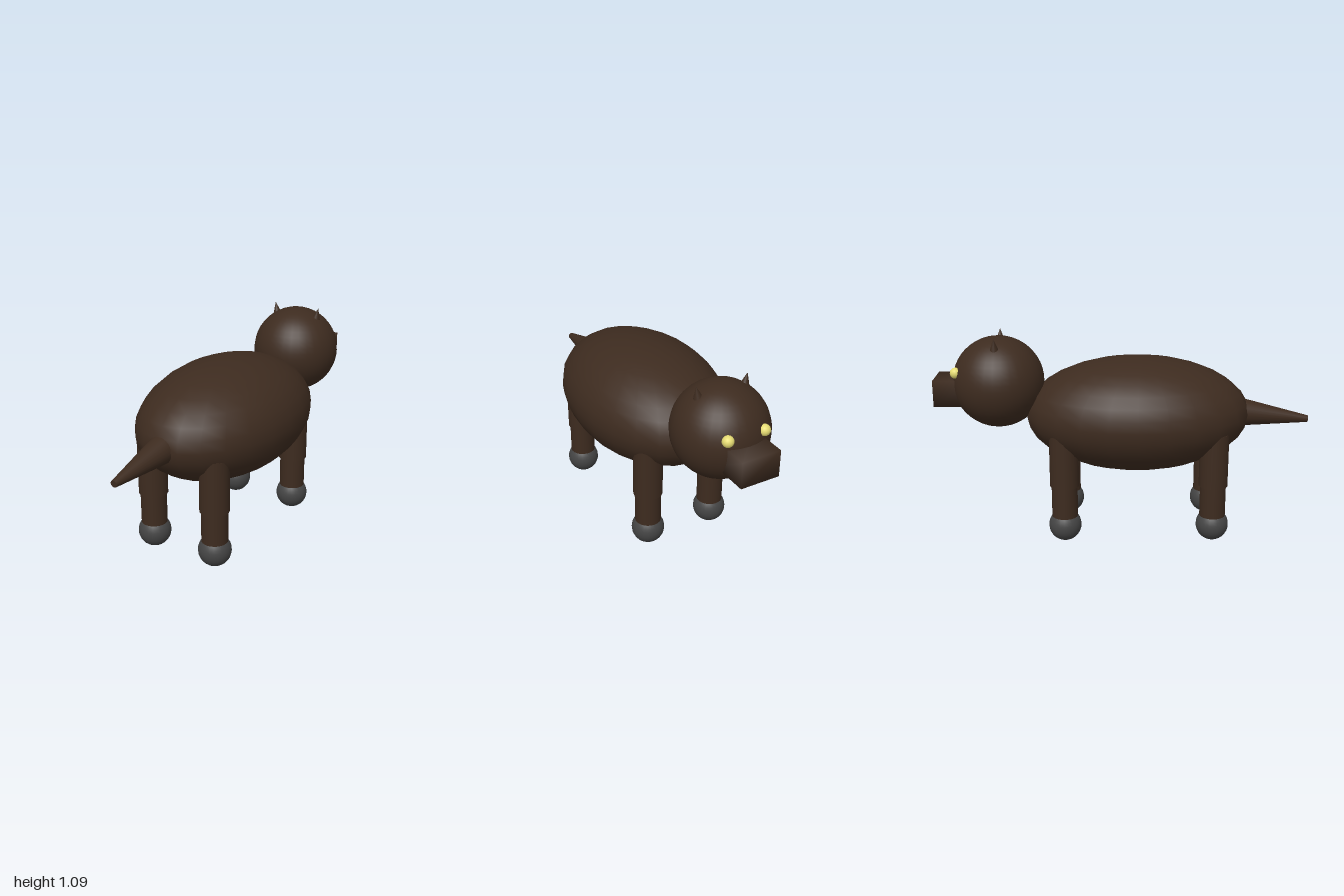
import * as THREE from 'three';
import { mergeVertices } from 'three/addons/utils/BufferGeometryUtils.js';

export function createModel() {
  const model = new THREE.Group();
  model.name = 'animal';
  const fur = new THREE.MeshStandardMaterial({ name: 'darkBrownFur', color: 0x3d2b1f });
  const paw = new THREE.MeshStandardMaterial({ name: 'greyPaw', color: 0x444444 });
  const eyeYellow = new THREE.MeshStandardMaterial({ name: 'yellowEye', color: 0xe6dc73 });

  const add = (parent, name, geometry, material, x, y, z) => {
    const mesh = new THREE.Mesh(geometry, material);
    mesh.name = name;
    mesh.position.set(x, y, z);
    parent.add(mesh);
    return mesh;
  };

  // Tapered limb running from point a to point b
  const taper = (name, a, b, rA, rB) => {
    const dir = b.clone().sub(a);
    const mid = a.clone().add(b).multiplyScalar(0.5);
    const mesh = add(model, name, new THREE.CylinderGeometry(rB, rA, dir.length(), 24), fur, mid.x, mid.y, mid.z);
    mesh.quaternion.setFromUnitVectors(new THREE.Vector3(0, 1, 0), dir.normalize());
    return mesh;
  };

  // Body and head
  const body = add(model, 'body', new THREE.SphereGeometry(1, 24, 16), fur, 0, 0.66, 0.075);
  body.scale.set(0.397, 0.304, 0.6);
  add(model, 'head', new THREE.SphereGeometry(0.243, 32, 24), fur, 0, 0.833, -0.665);

  // Snout: a box with softly shared normals
  let snoutGeo = new THREE.BoxGeometry(0.208, 0.14, 0.22);
  snoutGeo.deleteAttribute('normal');
  snoutGeo.deleteAttribute('uv');
  snoutGeo = mergeVertices(snoutGeo);
  snoutGeo.computeVertexNormals();
  add(model, 'snout', snoutGeo, fur, 0, 0.79, -0.89);

  // Tail, drooping slightly toward the tip
  taper('tail', new THREE.Vector3(0, 0.662, 0.6), new THREE.Vector3(0, 0.618, 0.998), 0.08, 0.018);

  for (const side of [1, -1]) {
    const label = side > 0 ? 'left' : 'right';

    // Eyes and pointed ears
    add(model, label + 'Eye', new THREE.SphereGeometry(0.029, 16, 12), eyeYellow, side * 0.1, 0.902, -0.876);
    taper(label + 'Ear', new THREE.Vector3(side * 0.124, 1.01, -0.665),
      new THREE.Vector3(side * 0.141, 1.09, -0.665), 0.03, 0);

    // Legs: thick upper part, thinner shin and round paw
    for (const [place, z] of [['Front', -0.315], ['Hind', 0.475]]) {
      const leg = new THREE.Group();
      leg.name = label + place + 'Leg';
      leg.position.set(side * 0.193, 0, z);
      model.add(leg);
      add(leg, 'upperLeg', new THREE.CylinderGeometry(0.077, 0.077, 0.29, 24), fur, 0, 0.455, 0);
      add(leg, 'lowerLeg', new THREE.CylinderGeometry(0.069, 0.069, 0.24, 24), fur, 0, 0.23, 0);
      add(leg, 'paw', new THREE.SphereGeometry(0.087, 24, 16), paw, 0, 0.087, 0);
    }
  }
  return model;
}
